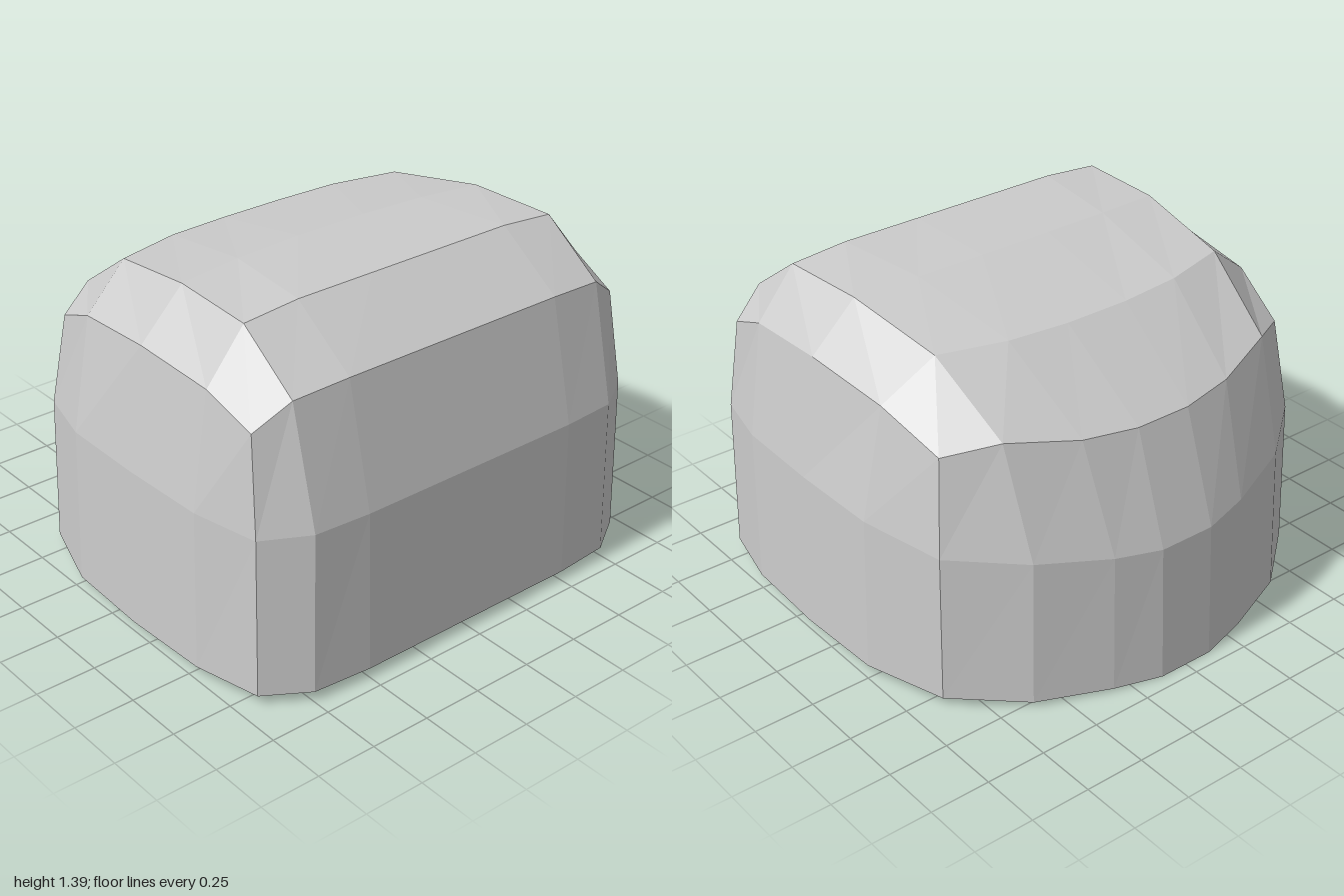
import * as THREE from 'three';

// Half outlines [x, y, z] running from front centre, round the +x side, to back centre.
// Indices: 0-2 front, 3 front corner, 4-6 side, 7 back corner, 8-10 back.
const rim = [
  [0.16, 0.04, 0.94], [0.5, 0.04, 0.94], [0.745, 0.04, 0.92], [0.92, 0.04, 0.81],
  [0.985, 0.04, 0.53], [1, 0.04, 0.15], [0.985, 0.04, -0.23], [0.875, 0.035, -0.56],
  [0.615, 0.02, -0.775], [0.32, 0.01, -0.89], [0.12, 0, -0.94],
];
const waist = [
  [0.16, 0.7, 0.925], [0.5, 0.7, 0.925], [0.735, 0.7, 0.91], [0.91, 0.69, 0.8],
  [0.975, 0.7, 0.53], [0.985, 0.7, 0.15], [0.97, 0.69, -0.23], [0.865, 0.65, -0.55],
  [0.605, 0.63, -0.76], [0.315, 0.59, -0.87], [0.12, 0.57, -0.915],
];
const shoulder = [
  [0.16, 1.195, 0.81], [0.5, 1.195, 0.81], [0.74, 1.18, 0.795], [0.88, 1.08, 0.745],
  [0.905, 1.17, 0.53], [0.91, 1.19, 0.15], [0.88, 1.15, -0.24], [0.82, 1.035, -0.5],
  [0.63, 1.08, -0.62], [0.35, 1.035, -0.72], [0.12, 1.02, -0.76],
];
// Roof rows between the front and back shoulders, from centre to the side.
const roof = [
  [[0.16, 1.39, 0.53], [0.5, 1.39, 0.53], [0.74, 1.37, 0.53]],
  [[0.16, 1.39, 0.11], [0.45, 1.385, 0.12], [0.72, 1.375, 0.145]],
  [[0.14, 1.295, -0.38], [0.4, 1.3, -0.36], [0.675, 1.305, -0.29]],
];

const mirrored = (points) => points.map(([x, y, z]) => [-x, y, z]).reverse();

function shellGeometry() {
  const positions = [];
  const quad = (a, b, c, d) => positions.push(...a, ...b, ...c, ...a, ...c, ...d);

  // Walls: bands between the closed outlines.
  const loops = [rim, waist, shoulder].map((half) => [...half, ...mirrored(half)]);
  for (let k = 0; k < loops.length - 1; k++) {
    const lower = loops[k], upper = loops[k + 1], n = lower.length;
    for (let i = 0; i < n; i++) {
      const j = (i + 1) % n;
      quad(lower[i], lower[j], upper[j], upper[i]);
    }
  }

  // Roof: a grid whose border is the shoulder outline.
  const rows = [
    shoulder.slice(0, 4),
    ...roof.map((row, i) => [...row, shoulder[4 + i]]),
    shoulder.slice(7).reverse(),
  ].map((half) => [...mirrored(half), ...half]);
  for (let r = 0; r < rows.length - 1; r++) {
    for (let c = 0; c < rows[r].length - 1; c++) {
      quad(rows[r][c], rows[r][c + 1], rows[r + 1][c + 1], rows[r + 1][c]);
    }
  }

  const geometry = new THREE.BufferGeometry();
  geometry.setAttribute('position', new THREE.Float32BufferAttribute(positions, 3));
  geometry.computeVertexNormals();
  return geometry;
}

export function createModel() {
  const group = new THREE.Group();
  group.name = 'openShell';
  // Thin faceted shell, open underneath.
  const material = new THREE.MeshStandardMaterial({
    color: 0xcccccc, flatShading: true, side: THREE.DoubleSide,
  });
  const shell = new THREE.Mesh(shellGeometry(), material);
  shell.name = 'shell';
  group.add(shell);
  return group;
}
